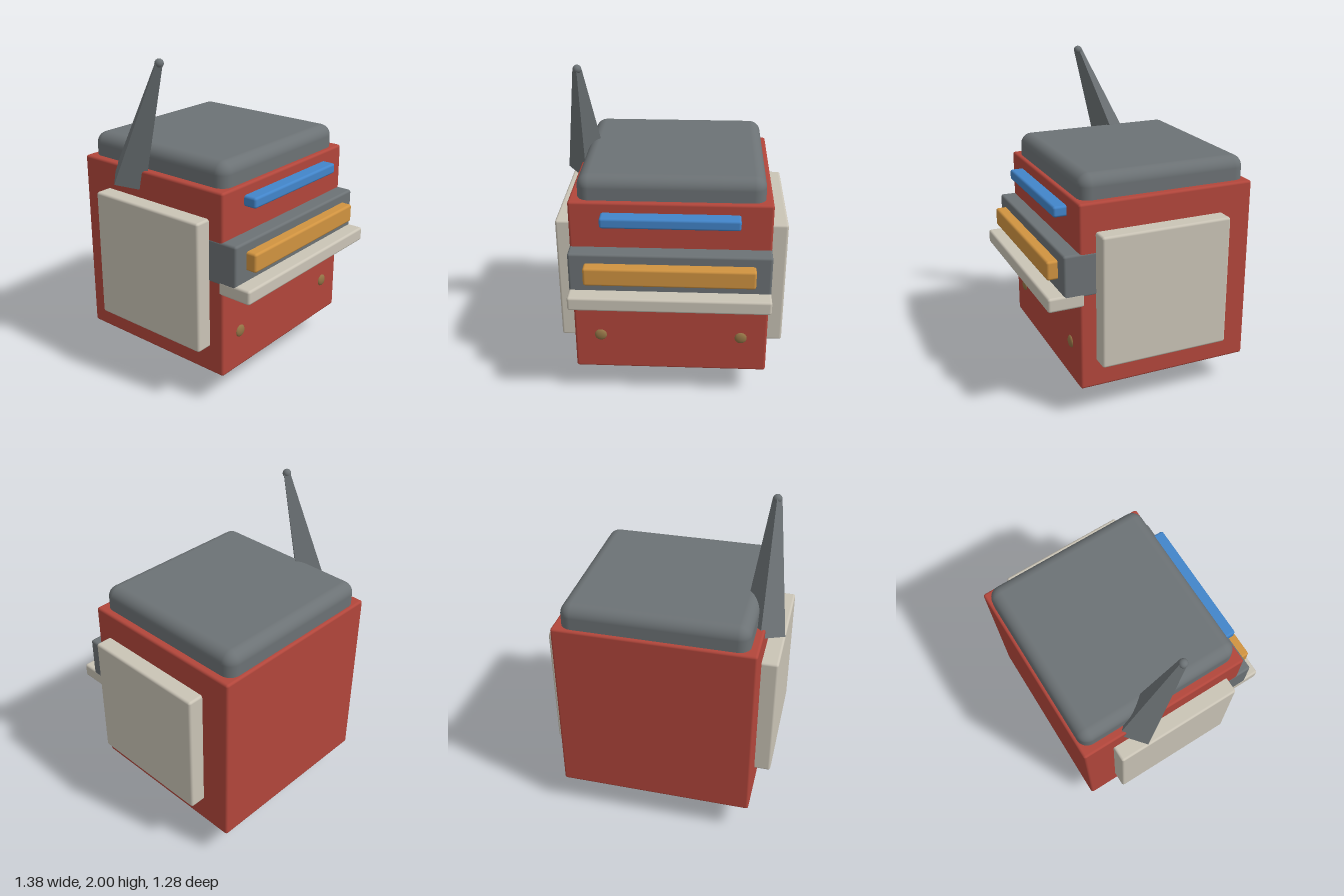
import * as THREE from 'three';
import { RoundedBoxGeometry } from 'three/addons/geometries/RoundedBoxGeometry.js';

const material = (name, color) => {
  const m = new THREE.MeshStandardMaterial({ color });
  m.name = name;
  return m;
};

export function createModel() {
  const model = new THREE.Group();
  model.name = 'robotHead';
  const red = material('red', 0xb2463b);
  const grey = material('grey', 0x6c7275);
  const cream = material('cream', 0xcac4b6);
  const blue = material('blue', 0x4285ca);
  const orange = material('orange', 0xd09340);
  const bronze = material('bronze', 0x927345);

  const add = (name, geometry, mat, parent = model) => {
    const mesh = new THREE.Mesh(geometry, mat);
    mesh.name = name;
    parent.add(mesh);
    return mesh;
  };

  // Rounded box given by its minimum and maximum corners
  const box = (name, mat, [x0, y0, z0], [x1, y1, z1], radius = 0.015, segments = 2) => {
    const mesh = add(name, new RoundedBoxGeometry(x1 - x0, y1 - y0, z1 - z0, segments, radius), mat);
    mesh.position.set((x0 + x1) / 2, (y0 + y1) / 2, (z0 + z1) / 2);
    return mesh;
  };

  // Head and cap
  box('head', red, [-0.59, 0.195, -0.64], [0.59, 1.335, 0.45]);
  box('cap', grey, [-0.543, 1.25, -0.62], [0.547, 1.477, 0.422], 0.07, 5);

  // Face: brow light, visor, eye bar and ledge
  box('browLight', blue, [-0.402, 1.208, 0.4], [0.404, 1.273, 0.53]);
  box('visor', grey, [-0.592, 0.785, 0.27], [0.592, 1.05, 0.545]);
  box('eyeBar', orange, [-0.498, 0.877, 0.5], [0.498, 0.992, 0.61]);
  box('ledge', cream, [-0.593, 0.725, 0.42], [0.593, 0.812, 0.64]);

  for (const side of [-1, 1]) {
    // Side panels
    const panel = box('sidePanel', cream, [-0.06, 0.363, -0.45], [0.06, 1.165, 0.353]);
    panel.position.x = side * 0.628;
    // Studs on the lower face
    const stud = add('stud', new THREE.SphereGeometry(0.038, 20, 14), bronze);
    stud.scale.z = 0.45;
    stud.position.set(side * 0.43, 0.435, 0.448);
  }

  // Neck with a six-sided ring of rounded bars
  const neckZ = -0.093;
  box('neck', grey, [-0.235, 0, neckZ - 0.235], [0.237, 0.25, neckZ + 0.235]);
  const ring = new THREE.Group();
  ring.name = 'neckRing';
  ring.position.set(0, 0.102, neckZ);
  model.add(ring);
  const ringRadius = 0.257;
  for (let i = 0; i < 6; i++) {
    const angle = (i * Math.PI) / 3;
    const apothem = ringRadius * Math.cos(Math.PI / 6);
    const bar = add('ringBar', new THREE.CapsuleGeometry(0.058, ringRadius, 8, 16), bronze, ring);
    bar.position.set(Math.cos(angle) * apothem, 0, Math.sin(angle) * apothem);
    bar.rotation.set(Math.PI / 2, 0, angle);
  }

  // Forward-leaning four-sided antenna with a rounded tip
  const base = new THREE.Vector3(-0.567, 1.25, -0.28);
  const tip = new THREE.Vector3(-0.567, 1.974, -0.013);
  const axis = tip.clone().sub(base);
  const spike = new THREE.CylinderGeometry(0.027, 0.129, axis.length(), 4).toNonIndexed();
  spike.computeVertexNormals();
  const antenna = add('antenna', spike, grey);
  antenna.position.copy(base).lerp(tip, 0.5);
  antenna.quaternion.setFromUnitVectors(new THREE.Vector3(0, 1, 0), axis.normalize());
  add('antennaTip', new THREE.SphereGeometry(0.026, 16, 12), grey).position.copy(tip);

  return model;
}
